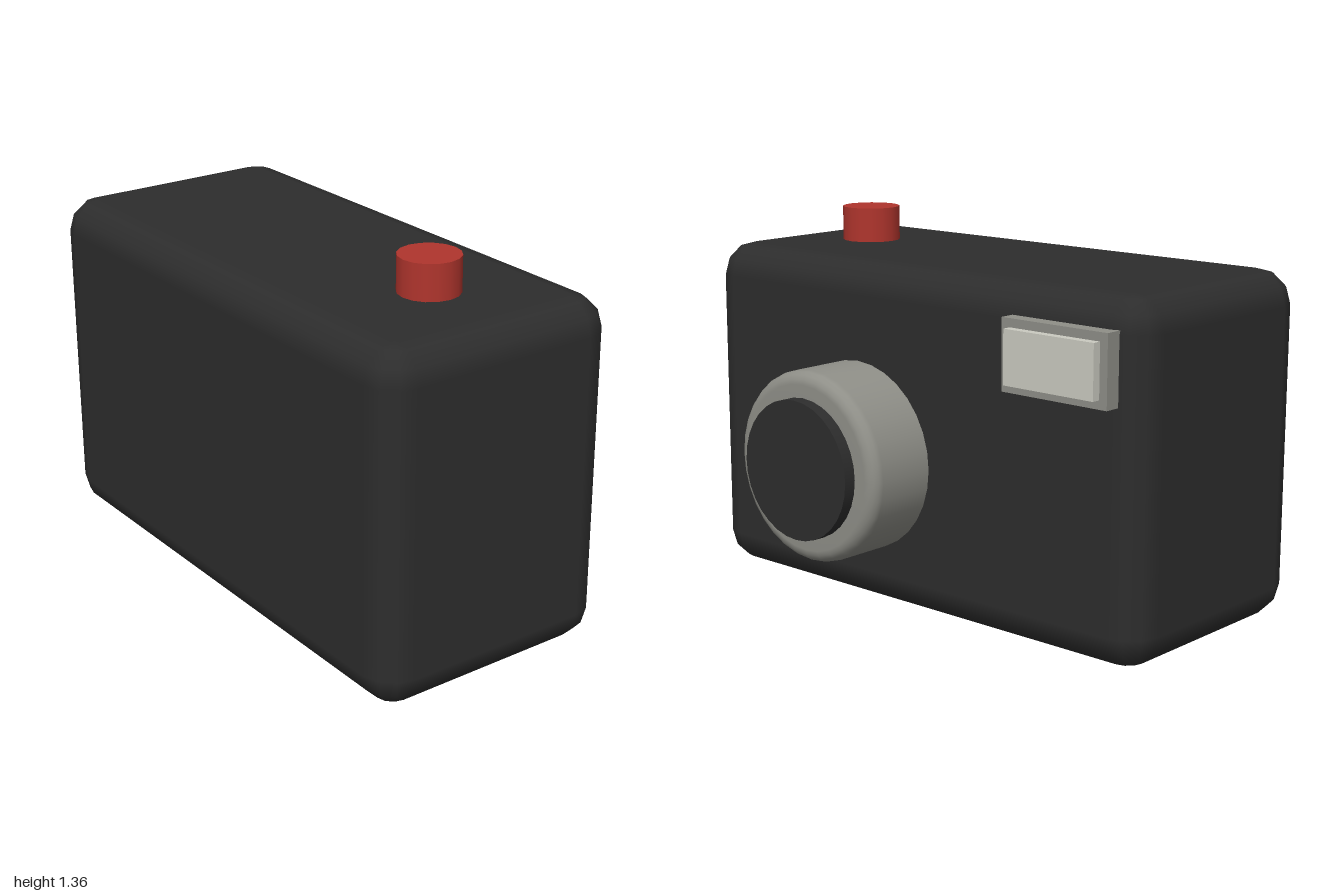
import * as THREE from 'three';

const material = (name, color) => {
  const m = new THREE.MeshStandardMaterial({ color });
  m.name = name;
  return m;
};

// Rounded box: a sphere grid pulled apart so each octant becomes one corner, three facets per edge.
function roundedBox(hx, hy, hz, r) {
  const geo = new THREE.SphereGeometry(1, 16, 9);
  const rows = [0, 0, 30, 60, 90, 90, 120, 150, 180, 180];
  const pos = geo.attributes.position, nor = geo.attributes.normal;
  for (let row = 0; row < 10; row++) {
    for (let col = 0; col <= 16; col++) {
      const i = row * 17 + col, c = col % 16, quad = Math.floor(c / 4);
      const u = THREE.MathUtils.degToRad(quad * 90 + (c % 4) * 30);
      const v = THREE.MathUtils.degToRad(rows[row]);
      const n = new THREE.Vector3(-Math.cos(u) * Math.sin(v), Math.cos(v), Math.sin(u) * Math.sin(v));
      const spread = row === 0 || row === 9 ? 0 : 1; // end rows close the flat top and bottom
      const sx = (quad === 1 || quad === 2 ? 1 : -1) * spread;
      const sz = (quad < 2 ? 1 : -1) * spread;
      const sy = row < 5 ? 1 : -1;
      pos.setXYZ(i, sx * (hx - r) + n.x * r, sy * (hy - r) + n.y * r, sz * (hz - r) + n.z * r);
      nor.setXYZ(i, n.x, n.y, n.z);
    }
  }
  return geo;
}

export function createModel() {
  const group = new THREE.Group();
  group.name = 'camera';
  const black = material('black casing', 0x2d2d2d);
  const grey = material('grey metal', 0x8f8f88);
  const red = material('red button', 0xb0352d);
  const pale = material('pale glass', 0xcbcbc1);

  const add = (name, geometry, mat, x, y, z) => {
    const mesh = new THREE.Mesh(geometry, mat);
    mesh.name = name;
    mesh.position.set(x, y, z);
    group.add(mesh);
    return mesh;
  };

  // Casing and shutter button
  add('body', roundedBox(1, 0.615, 0.46, 0.12), black, 0, 0.615, 0.155);
  add('shutterButton', new THREE.CylinderGeometry(0.106, 0.106, 0.145, 16), red, 0.612, 1.2825, 0.155);

  // Lens barrel with a rounded rim, turned about the z axis
  const barrel = [new THREE.Vector2(0.338, 0)];
  for (let i = 0; i <= 4; i++) {
    const a = (i / 4) * Math.PI / 2;
    barrel.push(new THREE.Vector2(0.293 + 0.045 * Math.cos(a), 0.24 + 0.045 * Math.sin(a)));
  }
  barrel.push(new THREE.Vector2(0.2, 0.285));
  add('lensBarrel', new THREE.LatheGeometry(barrel, 32), grey, 0.229, 0.541, -0.285).rotation.x = -Math.PI / 2;
  add('lensFront', new THREE.CylinderGeometry(0.247, 0.247, 0.065, 32), black, 0.229, 0.541, -0.5825).rotation.x = Math.PI / 2;

  // Viewfinder window
  add('viewfinderFrame', new THREE.BoxGeometry(0.43, 0.245, 0.065), grey, -0.695, 1.0025, -0.3225);
  add('viewfinderGlass', new THREE.BoxGeometry(0.366, 0.185, 0.05), pale, -0.697, 1.0025, -0.361);
  return group;
}
